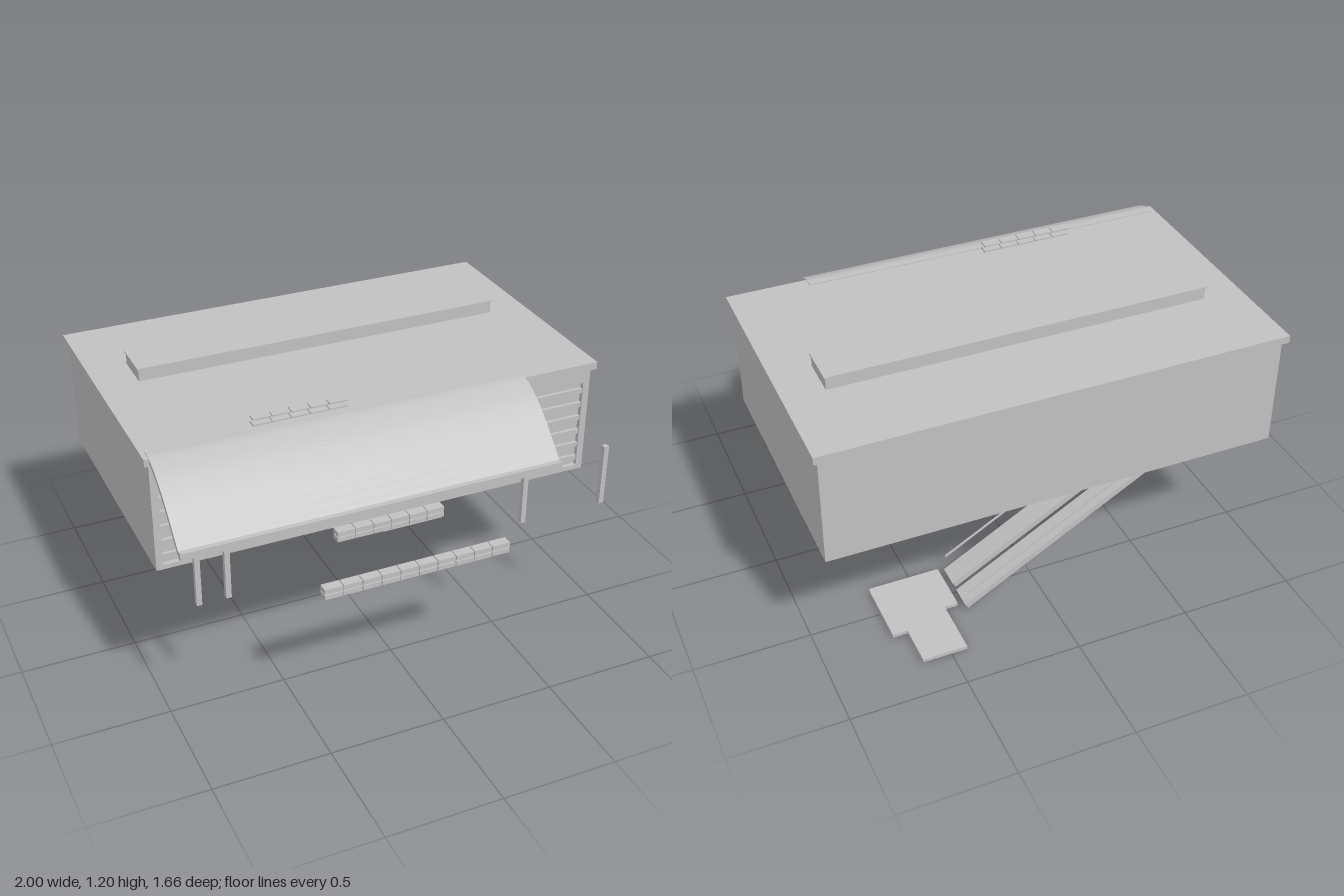
import * as THREE from 'three';

export function createModel() {
  const model = new THREE.Group();
  model.name = 'stationHall';
  const gray = new THREE.MeshStandardMaterial({ color: 0xc0c0c0 });
  gray.name = 'light gray';

  const add = (name, geometry, parent = model) => {
    const mesh = new THREE.Mesh(geometry, gray);
    mesh.name = name;
    parent.add(mesh);
    return mesh;
  };
  // Box given by its min and max on each axis
  const box = (name, x0, x1, y0, y1, z0, z1, parent) => {
    const mesh = add(name, new THREE.BoxGeometry(x1 - x0, y1 - y0, z1 - z0), parent);
    mesh.position.set((x0 + x1) / 2, (y0 + y1) / 2, (z0 + z1) / 2);
    return mesh;
  };
  const outline = (points) => points.map(([a, b]) => new THREE.Vector2(a, b));
  const rect = (a0, a1, b0, b1) => outline([[a0, b0], [a1, b0], [a1, b1], [a0, b1]]);
  const extrude = (points, depth, holes = []) => {
    const shape = new THREE.Shape(points);
    shape.holes = holes.map((h) => new THREE.Path(h));
    return new THREE.ExtrudeGeometry(shape, { depth, bevelEnabled: false });
  };

  // Floor with the opening for the escalators
  add('floor', extrude(rect(-0.98, 0.98, -0.76, 0.38), 0.015,
    [rect(-0.7, 0.4, -0.63, -0.37)]).rotateX(Math.PI / 2)).position.y = 0.635;

  // Walls
  box('backWall', -0.98, 0.98, 0.62, 1.11, -0.76, -0.745);
  for (const s of [-1, 1]) {
    box('sideWall', Math.min(s * 0.965, s * 0.98), Math.max(s * 0.965, s * 0.98), 0.62, 1.11, -0.76, 0.38);
  }

  // Front wall with three bays, recessed panels and horizontal bars
  const bays = [[-0.95, -0.51], [-0.475, 0.475], [0.52, 0.95]];
  add('frontWall', extrude(rect(-0.98, 0.98, 0.62, 1.11), 0.02,
    bays.map(([a, b]) => rect(a, b, 0.64, 1.045)))).position.z = 0.36;
  for (const [a, b] of bays) {
    box('bayPanel', a, b, 0.635, 1.05, 0.352, 0.36);
    for (let i = 0; i < 6; i++) {
      const y = 0.665 + i * 0.066;
      box('bayBar', a, b, y, y + 0.022, 0.36, 0.375);
    }
  }

  // Roof and the long raised skylight with its cap
  box('roof', -1, 1, 1.11, 1.143, -0.78, 0.395);
  box('skylight', -0.825, 0.825, 1.143, 1.195, -0.4, -0.225);
  box('skylightCap', -0.83, 0.83, 1.195, 1.202, -0.405, -0.22);

  // Curved canopy: a strip of even thickness swept along x
  const curve = new THREE.SplineCurve(outline([
    [0.345, 1.147], [0.4, 1.143], [0.48, 1.105], [0.55, 1.055], [0.61, 1.0], [0.705, 0.905]]));
  const upper = [], lower = [];
  for (let i = 0; i <= 20; i++) {
    const p = curve.getPoint(i / 20), t = curve.getTangent(i / 20);
    upper.push(p);
    lower.unshift(new THREE.Vector2(p.x + t.y * 0.02, p.y - t.x * 0.02));
  }
  add('canopy', extrude([...upper, ...lower], 1.63).rotateY(-Math.PI / 2)).position.x = 0.65;
  box('canopyLip', -0.98, 0.65, 0.88, 0.912, 0.7, 0.722);

  // Posts under the canopy
  for (const x of [-0.9, -0.78, 0.52, 0.9]) {
    box('post', x - 0.011, x + 0.011, 0.62, 0.895, 0.645, 0.667);
  }

  // Rows of small blocks in two layers
  const blockRow = (name, x0, count, z0, z1, layers) => {
    const row = new THREE.Group();
    row.name = name;
    model.add(row);
    for (let i = 0; i < count; i++) {
      const x = x0 + i * 0.0815;
      for (const [y0, y1] of layers) box('block', x, x + 0.078, y0, y1, z0, z1, row);
    }
  };
  const benchLayers = [[0.62, 0.64], [0.645, 0.667]];
  blockRow('outerBench', -0.45, 10, 0.79, 0.832, benchLayers);
  blockRow('innerBench', -0.243, 6, 0.445, 0.488, benchLayers);
  blockRow('roofPanels', -0.535, 5, 0.295, 0.335, [[1.15, 1.157], [1.175, 1.182]]);

  // Two sloping escalator lanes
  const lane = outline([[-0.7, 0.62], [0.337, 0.012], [0.352, 0.034], [-0.65, 0.62]]);
  for (const z of [-0.48, -0.62]) add('escalator', extrude(lane, 0.1)).position.z = z;

  // Handrails above the outer edges
  const from = new THREE.Vector2(-0.545, 0.62), to = new THREE.Vector2(0.343, 0.102);
  for (const z of [-0.376, -0.624]) {
    const rail = add('handrail', new THREE.BoxGeometry(from.distanceTo(to), 0.007, 0.007));
    rail.position.set((from.x + to.x) / 2, (from.y + to.y) / 2, z);
    rail.rotation.z = Math.atan2(to.y - from.y, to.x - from.x);
  }

  // Stepped landing at the foot
  add('landing', extrude(outline([
    [0.37, -0.35], [0.69, -0.35], [0.69, -0.65], [0.625, -0.65],
    [0.625, -0.83], [0.43, -0.83], [0.43, -0.58], [0.37, -0.58]]), 0.016)
    .rotateX(Math.PI / 2)).position.y = 0.016;

  return model;
}
